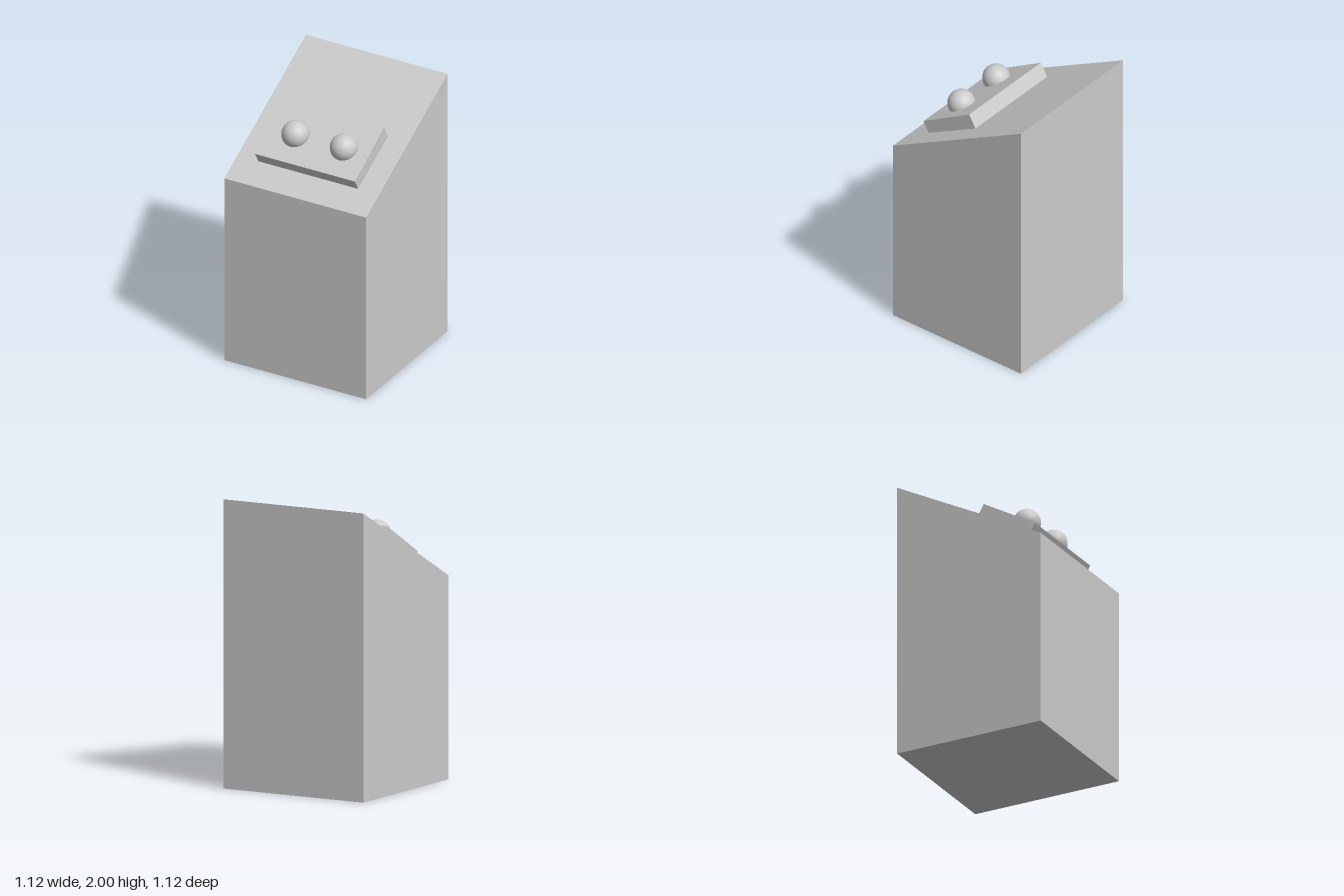
import * as THREE from 'three';

export function createModel() {
  const model = new THREE.Group();
  const grey = new THREE.MeshStandardMaterial({ color: 0xcccccc });
  const add = (name, geometry, parent = model) => {
    const mesh = new THREE.Mesh(geometry, grey);
    mesh.name = name;
    parent.add(mesh);
    return mesh;
  };

  // Pedestal: side profile with a sloping top, extruded across the width
  const width = 1.115, half = width / 2;
  const profile = new THREE.Shape([
    new THREE.Vector2(-half, 0),
    new THREE.Vector2(half, 0),
    new THREE.Vector2(half, 2),
    new THREE.Vector2(-half, 1.413),
  ]);
  const pedestal = new THREE.ExtrudeGeometry(profile, { depth: width, bevelEnabled: false });
  pedestal.translate(0, 0, -half).rotateY(Math.PI / 2);
  add('pedestal', pedestal);

  // Control panel: tilted block sunk slightly into the slope
  const thickness = 0.13;
  const panel = new THREE.BoxGeometry(0.785, thickness, 0.46);
  panel.translate(0, -thickness / 2, 0);
  const controlPanel = add('controlPanel', panel);
  controlPanel.position.set(0, 1.7, 0.225);
  controlPanel.rotation.x = Math.PI / 6;

  // Two ball buttons on the panel
  const ball = new THREE.SphereGeometry(0.096, 32, 20);
  for (const [name, x] of [['rightButton', -0.179], ['leftButton', 0.202]]) {
    add(name, ball).position.set(x, 1.713, 0.245);
  }

  return model;
}
